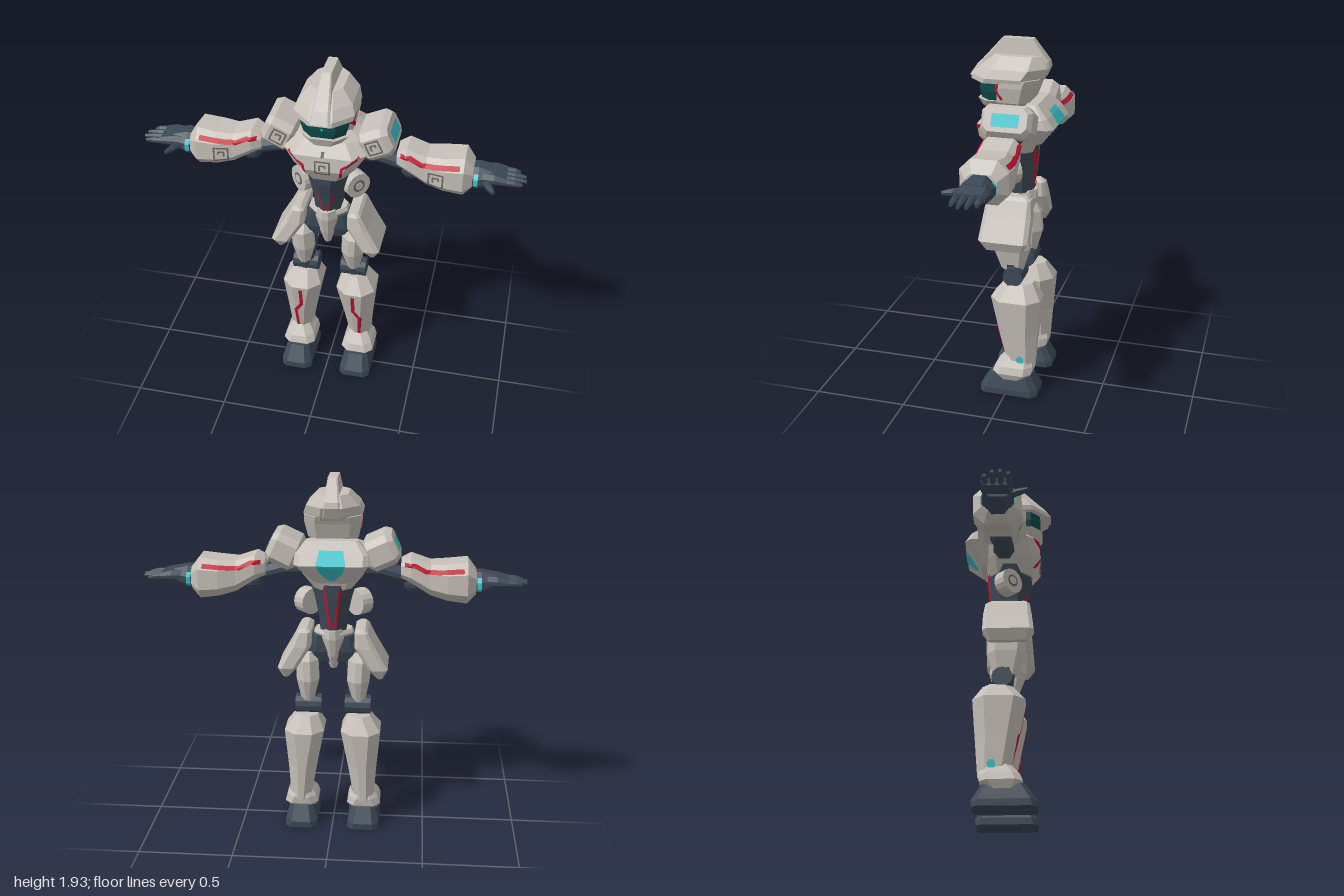
import * as THREE from 'three';

const mat = (name, color, side = THREE.FrontSide) => {
  const m = new THREE.MeshStandardMaterial({ color, side });
  m.name = name;
  return m;
};

export function createModel() {
  const white = mat('armour white', 0xc6c0b8);
  const dark = mat('frame slate', 0x3b4855);
  const visor = mat('visor teal', 0x0d4a4a);
  const red = mat('line red', 0xc0142f, THREE.DoubleSide);
  const cyan = mat('glow cyan', 0x35c3cb, THREE.DoubleSide);
  const groove = mat('groove grey', 0x6f6c69, THREE.DoubleSide);

  const root = new THREE.Group();
  root.name = 'armouredRobot';
  const side = new THREE.Group();
  side.name = 'leftSide';

  // Faceted mesh with its transform baked in
  const add = (group, name, material, geo) => {
    const g = geo.index ? geo.toNonIndexed() : geo;
    g.computeVertexNormals();
    const mesh = new THREE.Mesh(g, material);
    mesh.name = name;
    group.add(mesh);
    return mesh;
  };

  // Chamfered cross-sections [t, a0, a1, b0, b1, chamfer] joined along y (a=x, b=z) or x (a=y, b=z)
  const loft = (axis, rings) => {
    const loops = rings.map(([t, a0, a1, b0, b1, k = 0.35]) => {
      const c = k * Math.min(a1 - a0, b1 - b0);
      return [[a0 + c, b0], [a1 - c, b0], [a1, b0 + c], [a1, b1 - c], [a1 - c, b1], [a0 + c, b1], [a0, b1 - c], [a0, b0 + c]]
        .map(([a, b]) => axis === 'y' ? new THREE.Vector3(a, t, b) : new THREE.Vector3(t, a, b));
    });
    const tris = [];
    for (let i = 0; i < loops.length - 1; i++) {
      for (let j = 0; j < 8; j++) {
        const k = (j + 1) % 8, A = loops[i], B = loops[i + 1];
        tris.push([A[j], B[j], B[k]], [A[j], B[k], A[k]]);
      }
    }
    const end = loops[loops.length - 1];
    for (let j = 1; j < 7; j++) tris.push([loops[0][0], loops[0][j], loops[0][j + 1]], [end[0], end[j + 1], end[j]]);
    const centre = loops[0][0];
    const sub = p => p.clone().sub(centre);
    const volume = tris.reduce((s, [a, b, c]) => s + sub(a).dot(sub(b).cross(sub(c))), 0);
    const pts = tris.flatMap(([a, b, c]) => volume > 0 ? [a, b, c] : [a, c, b]);
    return new THREE.BufferGeometry().setFromPoints(pts);
  };
  // Ring symmetric about x = 0
  const mid = (y, h, z0, z1, k) => [y, -h, h, z0, z1, k];

  // Thin ribbon laid on a mesh along points [u, v, width], seen along an axis
  const ray = new THREE.Raycaster();
  const inlay = (group, target, name, material, axis, sign, pts) => {
    const to3 = (u, v, d) => axis === 'z' ? new THREE.Vector3(u, v, d)
      : axis === 'x' ? new THREE.Vector3(d, v, u) : new THREE.Vector3(u, d, v);
    const dir = to3(0, 0, -sign);
    let last = null;
    const rows = [], N = 6;
    for (let i = 0; i < pts.length - 1; i++) {
      const [u0, v0, w0] = pts[i], [u1, v1, w1] = pts[i + 1];
      const len = Math.hypot(u1 - u0, v1 - v0), nu = -(v1 - v0) / len, nv = (u1 - u0) / len;
      for (let s = 0; s <= N; s++) {
        const t = s / N, w = w0 + (w1 - w0) * t;
        rows.push([-0.5, 0, 0.5].map(e => {
          const u = u0 + (u1 - u0) * t + nu * w * e, v = v0 + (v1 - v0) * t + nv * w * e;
          ray.set(to3(u, v, sign * 3), dir);
          const hit = ray.intersectObject(target)[0];
          if (hit) last = hit.distance;
          return last === null ? null : to3(u, v, sign * (3 - last + 0.005));
        }));
      }
    }
    const out = [];
    for (let i = 0; i < rows.length - 1; i++) {
      for (let j = 0; j < 2; j++) {
        const [a, b, c, d] = [rows[i][j], rows[i][j + 1], rows[i + 1][j + 1], rows[i + 1][j]];
        if (a && b && c && d) out.push(...(sign > 0 === (axis !== 'z') ? [a, b, c, a, c, d] : [a, c, b, a, d, c]));
      }
    }
    return add(group, name, material, new THREE.BufferGeometry().setFromPoints(out));
  };
  // Square groove with a short inner bar
  const emblem = (group, target, u, v, h, angle = 0) => {
    const p = (x, y) => [u + x * Math.cos(angle) - y * Math.sin(angle), v + x * Math.sin(angle) + y * Math.cos(angle), 0.009];
    inlay(group, target, 'squareGroove', groove, 'z', 1, [p(-h, -h), p(h, -h), p(h, h), p(-h, h), p(-h, -h)]);
    inlay(group, target, 'innerGroove', groove, 'z', 1, [p(-h * 0.4, -h * 0.4), p(-h * 0.4, h * 0.4), p(h * 0.4, h * 0.4), p(h * 0.4, 0)]);
  };

  // Head
  add(root, 'neck', dark, new THREE.CylinderGeometry(0.06, 0.075, 0.16, 10).translate(0, 1.56, -0.02));
  const skull = add(root, 'helmetBase', white, loft('y', [mid(1.575, 0.08, -0.06, 0.07), mid(1.62, 0.13, -0.09, 0.1, 0.25),
    mid(1.7, 0.147, -0.12, 0.11, 0.25), mid(1.74, 0.147, -0.14, 0.11, 0.25)]));
  add(root, 'helmetCap', white, loft('y', [mid(1.72, 0.145, -0.135, 0.225, 0.3), mid(1.745, 0.152, -0.15, 0.22, 0.3),
    mid(1.79, 0.135, -0.172, 0.18, 0.3), mid(1.85, 0.08, -0.14, 0.1, 0.25)]));
  add(root, 'crest', white, loft('y', [mid(1.735, 0.055, -0.15, 0.237, 0.12), mid(1.79, 0.045, -0.177, 0.2, 0.12),
    mid(1.82, 0.04, -0.172, 0.17, 0.12), mid(1.93, 0.025, -0.09, 0.07, 0.12)]));
  const face = add(root, 'visor', visor, loft('y', [mid(1.6, 0.1, 0, 0.165, 0.3), mid(1.67, 0.118, 0, 0.178, 0.3), mid(1.735, 0.118, 0, 0.175, 0.3)]));
  inlay(root, face, 'visorSpot', cyan, 'z', 1, [[0, 1.685, 0.008], [0, 1.672, 0.008]]);
  add(root, 'jaw', white, loft('y', [mid(1.555, 0.065, 0, 0.13, 0.3), mid(1.58, 0.09, 0, 0.17, 0.3), mid(1.625, 0.122, 0, 0.187, 0.3)]));
  for (const s of [-1, 1]) {
    inlay(root, skull, 'cheekLine', red, 'x', s, [[0.06, 1.74, 0.02], [0.075, 1.68, 0.02], [0.04, 1.64, 0.014]]);
  }

  // Chest and backpack
  const chest = add(root, 'chest', white, loft('y', [mid(1.35, 0.095, -0.1, 0.13, 0.2), mid(1.43, 0.16, -0.13, 0.175, 0.2),
    mid(1.51, 0.21, -0.14, 0.17, 0.2), mid(1.57, 0.17, -0.13, 0.12, 0.25), mid(1.6, 0.11, -0.11, 0.07, 0.25)]));
  emblem(root, chest, 0, 1.45, 0.036);
  inlay(root, chest, 'collarSlot', dark, 'z', 1, [[0, 1.535, 0.016], [0, 1.51, 0.016]]);
  for (const s of [-1, 1]) {
    inlay(root, chest, 'chestLine', red, 'z', 1, [[s * 0.18, 1.515, 0.014], [s * 0.1, 1.46, 0.014], [s * 0.085, 1.38, 0.012]]);
  }
  const pack = add(root, 'backpack', white, loft('y', [mid(1.4, 0.09, -0.15, -0.08), mid(1.51, 0.19, -0.235, -0.08, 0.2),
    mid(1.56, 0.185, -0.2, -0.08, 0.2), mid(1.62, 0.13, -0.14, -0.08, 0.2)]));
  inlay(root, pack, 'backPanel', cyan, 'z', -1, [[0, 1.58, 0.12], [0, 1.52, 0.15], [0, 1.47, 0.12], [0, 1.42, 0.03]]);

  // Waist
  const waist = add(root, 'abdomen', dark, loft('y', [mid(1.08, 0.065, -0.09, 0.085), mid(1.2, 0.075, -0.1, 0.1),
    mid(1.31, 0.1, -0.11, 0.125), mid(1.4, 0.13, -0.11, 0.125)]));
  for (const s of [-1, 1]) {
    inlay(root, waist, 'waistLine', red, 'z', 1, [[s * 0.042, 1.25, 0.009], [s * 0.03, 1.19, 0.009], [s * 0.008, 1.13, 0.009]]);
    inlay(root, waist, 'spineLine', red, 'z', -1, [[s * 0.042, 1.36, 0.014], [s * 0.012, 1.14, 0.014]]);
  }
  add(root, 'pelvis', white, loft('y', [mid(0.9, 0.018, -0.04, 0.06), mid(0.98, 0.04, -0.08, 0.09), mid(1.08, 0.06, -0.11, 0.115),
    mid(1.13, 0.045, -0.11, 0.115)]));
  add(root, 'pelvisBand', white, loft('y', [mid(1.04, 0.05, -0.09, 0.09), mid(1.1, 0.105, -0.09, 0.09), mid(1.12, 0.095, -0.08, 0.08)]));
  add(root, 'hipBlock', dark, loft('y', [mid(0.94, 0.13, -0.05, 0.05), mid(1.0, 0.15, -0.07, 0.07), mid(1.09, 0.13, -0.07, 0.07)]));

  // Waist discs, facing diagonally outward
  const disc = (name, m, r, h, out) => add(side, name, m, new THREE.CylinderGeometry(r, r, h, 16)
    .rotateX(Math.PI / 2).translate(0, 0, out).rotateY(Math.PI / 4).translate(0.135, 1.265, 0));
  disc('waistDisc', white, 0.07, 0.07, 0);
  disc('discRing', groove, 0.034, 0.008, 0.034);
  disc('discHub', white, 0.022, 0.012, 0.035);

  // Hip skirt
  add(side, 'hipSkirt', white, loft('y', [[0.865, 0.235, 0.265, -0.1, 0.1], [0.92, 0.19, 0.292, -0.13, 0.135, 0.2],
    [1.04, 0.115, 0.225, -0.13, 0.125, 0.2], [1.12, 0.115, 0.185, -0.12, 0.115, 0.2], [1.137, 0.135, 0.17, -0.1, 0.1]]));

  // Shoulder pad, tilted up towards the outside
  const tilt = 25 * Math.PI / 180;
  const padGeo = loft('x', [[-0.085, -0.055, 0.055, -0.1, 0.1, 0.2], [-0.055, -0.08, 0.08, -0.13, 0.13, 0.2],
    [0.055, -0.08, 0.08, -0.13, 0.13, 0.2], [0.085, -0.06, 0.06, -0.11, 0.11, 0.2]]).rotateZ(tilt).translate(0.247, 1.557, -0.03);
  const pad = add(side, 'shoulderPad', white, padGeo);
  emblem(side, pad, 0.243, 1.557, 0.034, tilt);
  inlay(side, pad, 'shoulderLight', cyan, 'x', 1, [[-0.1, 1.592, 0.06], [0.04, 1.592, 0.06]]);

  // Arm
  add(side, 'upperArm', dark, loft('x', [[0.12, 1.41, 1.5, -0.08, 0.04], [0.25, 1.41, 1.49, -0.075, 0.025], [0.4, 1.37, 1.45, -0.075, 0.02]]));
  add(side, 'elbow', dark, new THREE.SphereGeometry(0.058, 12, 8).translate(0.42, 1.385, -0.03));
  const forearm = add(side, 'forearm', white, loft('x', [[0.35, 1.42, 1.505, -0.1, 0.04, 0.25], [0.4, 1.4, 1.528, -0.13, 0.065, 0.25],
    [0.5, 1.335, 1.495, -0.135, 0.07, 0.25], [0.59, 1.31, 1.5, -0.155, 0.085, 0.25], [0.69, 1.295, 1.513, -0.155, 0.085, 0.25],
    [0.735, 1.34, 1.455, -0.11, 0.045, 0.25]]));
  emblem(side, forearm, 0.555, 1.395, 0.036);
  const armLine = [[0.37, 1.495, 0.02], [0.42, 1.495, 0.02], [0.48, 1.465, 0.02], [0.54, 1.465, 0.02], [0.67, 1.475, 0.02]];
  inlay(side, forearm, 'armFrontLine', red, 'z', 1, armLine);
  inlay(side, forearm, 'armBackLine', red, 'z', -1, armLine);
  const cuff = add(side, 'wristCuff', dark, loft('x', [[0.7, 1.33, 1.45, -0.1, 0.04], [0.76, 1.325, 1.455, -0.11, 0.05], [0.83, 1.36, 1.44, -0.095, 0.04]]));
  for (const s of [-1, 1]) inlay(side, cuff, 'wristLight', cyan, 'z', s, [[0.75, 1.36, 0.022], [0.75, 1.43, 0.022]]);

  // Hand
  add(side, 'palm', dark, loft('x', [[0.78, 1.37, 1.435, -0.1, 0.045], [0.84, 1.375, 1.435, -0.11, 0.05], [0.9, 1.38, 1.42, -0.105, 0.045]]));
  [0.965, 0.995, 1, 0.98].forEach((tip, i) => {
    const z = -0.085 + i * 0.038;
    add(side, 'finger', dark, loft('x', [[0.88, 1.383, 1.418, z - 0.016, z + 0.016], [0.94, 1.382, 1.414, z - 0.015, z + 0.015],
      [tip, 1.385, 1.402, z - 0.009, z + 0.009]]));
  });
  add(side, 'thumb', dark, loft('x', [[-0.05, -0.02, 0.02, -0.02, 0.02], [0.03, -0.018, 0.018, -0.018, 0.018], [0.075, -0.01, 0.01, -0.01, 0.01]])
    .rotateY(-1.1).translate(0.81, 1.39, 0.053));

  // Leg
  add(side, 'thighFrame', dark, loft('y', [[0.66, 0.1, 0.17, -0.06, 0.02], [0.8, 0.075, 0.18, -0.07, 0.05], [1.05, 0.06, 0.17, -0.06, 0.06]]));
  add(side, 'thighArmour', white, loft('y', [[0.72, 0.105, 0.17, -0.075, 0.045], [0.84, 0.075, 0.195, -0.11, 0.09],
    [0.95, 0.08, 0.2, -0.1, 0.095], [1.0, 0.1, 0.17, -0.07, 0.06]]));
  add(side, 'knee', dark, new THREE.CylinderGeometry(0.054, 0.054, 0.14, 12).rotateZ(Math.PI / 2).translate(0.133, 0.69, -0.03));
  const shin = add(side, 'shin', white, loft('y', [[0.16, 0.12, 0.225, -0.15, 0], [0.36, 0.085, 0.24, -0.165, 0.05],
    [0.565, 0.045, 0.258, -0.18, 0.09, 0.28], [0.65, 0.08, 0.2, -0.13, 0.025]]));
  inlay(side, shin, 'shinLine', red, 'z', 1, [[0.148, 0.55, 0.02], [0.148, 0.43, 0.02], [0.185, 0.37, 0.02], [0.178, 0.23, 0.016]]);
  for (const s of [-1, 1]) inlay(side, shin, 'ankleLight', cyan, 'x', s, [[-0.08, 0.24, 0.016], [-0.08, 0.225, 0.04], [-0.08, 0.205, 0.04], [-0.08, 0.185, 0.012]]);

  // Foot
  add(side, 'ankleArmour', white, loft('y', [[0.05, 0.12, 0.225, -0.06, 0.02], [0.13, 0.08, 0.262, -0.14, 0.075, 0.2],
    [0.17, 0.09, 0.25, -0.145, 0.06, 0.25], [0.225, 0.125, 0.215, -0.13, 0.015]]));
  add(side, 'foot', dark, loft('y', [[0, 0.085, 0.257, -0.175, 0.145, 0.15], [0.035, 0.085, 0.257, -0.178, 0.143, 0.2],
    [0.12, 0.11, 0.235, -0.13, 0.085, 0.2]]));

  // Mirror the left side, restoring the corner order
  const right = new THREE.Group();
  right.name = 'rightSide';
  for (const mesh of side.children) {
    const g = mesh.geometry.clone().scale(-1, 1, 1), p = g.attributes.position;
    const b = new THREE.Vector3(), c = new THREE.Vector3();
    for (let i = 0; i < p.count; i += 3) {
      b.fromBufferAttribute(p, i + 1);
      c.fromBufferAttribute(p, i + 2);
      p.setXYZ(i + 1, c.x, c.y, c.z);
      p.setXYZ(i + 2, b.x, b.y, b.z);
    }
    add(right, mesh.name, mesh.material, g);
  }
  root.add(side, right);
  return root;
}
